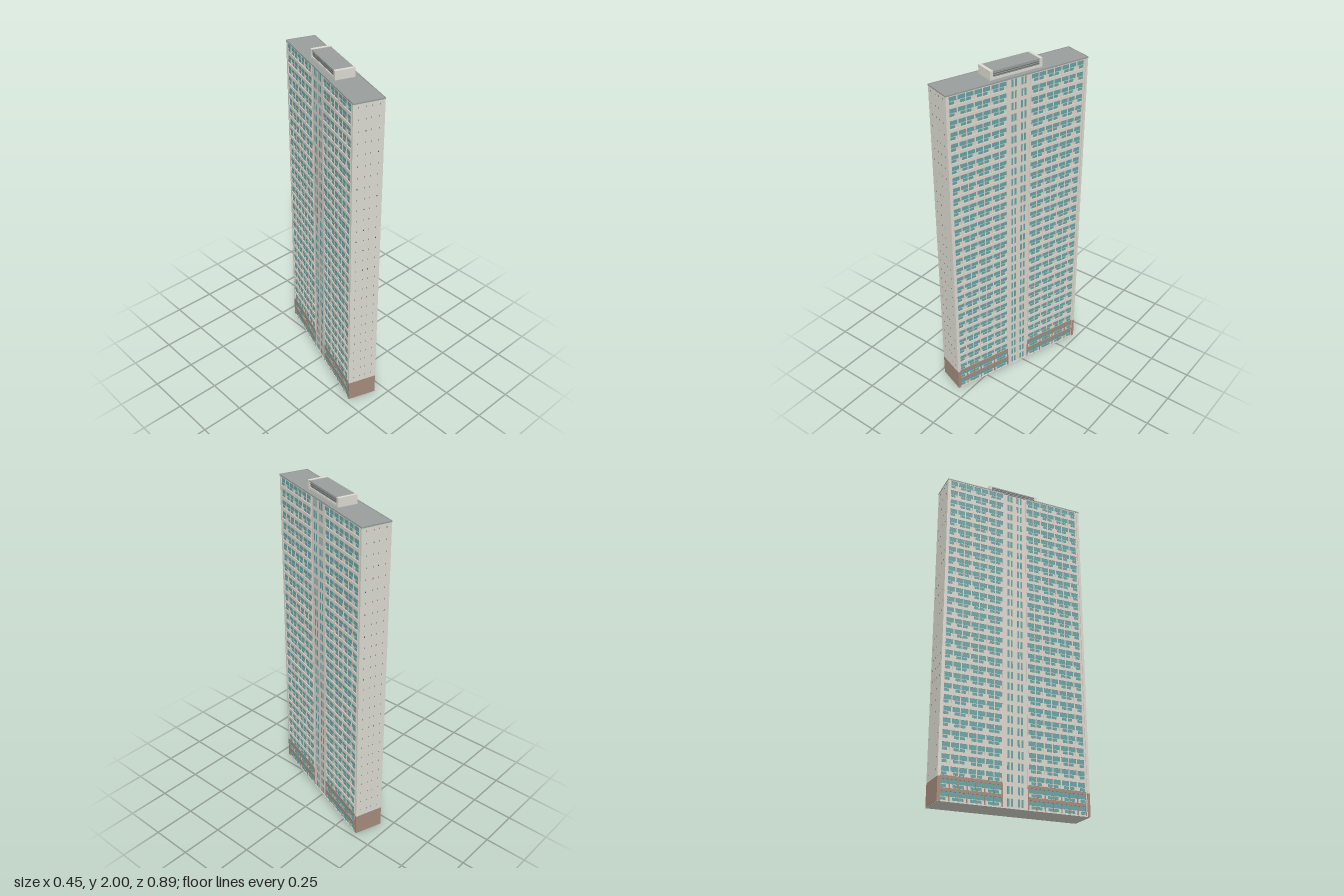
import * as THREE from 'three';
import { mergeGeometries } from 'three/addons/utils/BufferGeometryUtils.js';

const material = (name, color) => {
  const m = new THREE.MeshStandardMaterial({ color });
  m.name = name;
  return m;
};

const FLOORS = 30, PITCH = 0.065, HEIGHT = 1.95;
const HX = 0.086, HZ = 0.439;       // half depth and half length of the slab block
const CORE = 0.082;                 // facade plane behind the bands and piers
const BAY0 = 0.075, BAY1 = 0.418, COLS = 7;
const SHIFT = 0.004;                // each facade sits slightly off centre

export function createModel() {
  const mats = {
    wall: material('pale end wall', 0xdcdcd2),
    facade: material('facade cladding', 0xddd7cd),
    glass: material('teal glass', 0x68a5a6),
    brown: material('brown base', 0xa68c7d),
    roof: material('grey roof', 0x9a9f9e),
    dark: material('dark trim', 0x565958),
  };
  const building = new THREE.Group();
  building.name = 'towerBlock';
  const parts = {};

  // Collects a box, given by its limits, under a part name and colour
  const box = (part, mat, x0, x1, y0, y1, z0, z1) => {
    const g = new THREE.BoxGeometry(Math.abs(x1 - x0), y1 - y0, Math.abs(z1 - z0));
    g.translate((x0 + x1) / 2, (y0 + y1) / 2, (z0 + z1) / 2);
    (parts[part] ??= { mat, list: [] }).list.push(g);
  };

  // Core, underside and flat roof
  box('core', 'facade', -CORE, CORE, 0.004, HEIGHT - 0.004, -HZ + 0.01, HZ - 0.01);
  box('basePlate', 'wall', -HX + 0.001, HX - 0.001, 0, 0.004, -HZ + 0.001, HZ - 0.001);
  box('roof', 'roof', -HX + 0.003, HX - 0.003, HEIGHT - 0.006, HEIGHT, -HZ + 0.003, HZ - 0.003);

  for (const s of [-1, 1]) {
    // Roof edge trim
    box('roofEdge', 'roof', s * (HX - 0.003), s * (HX + 0.001), HEIGHT - 0.006, HEIGHT + 0.002, -HZ - 0.001, HZ + 0.001);
    box('roofEdge', 'roof', -HX, HX, HEIGHT - 0.006, HEIGHT + 0.002, s * (HZ - 0.003), s * (HZ + 0.001));

    // End walls with brown base and small slits
    box('endWall', 'wall', -HX, HX, 2 * PITCH, HEIGHT - 0.006, s * (BAY1 + 0.006), s * HZ);
    box('endBase', 'brown', -HX, HX, 0.001, 2 * PITCH, s * (BAY1 + 0.006), s * HZ);
    for (let f = 2; f < FLOORS; f++)
      for (const x of [-0.057, -0.015, 0.015, 0.057])
        box('endSlits', 'dark', x - 0.0015, x + 0.0015, f * PITCH + 0.036, f * PITCH + 0.044, s * HZ, s * (HZ + 0.0005));

    // Long facades
    const layer = (part, mat, depth, y0, y1, z0, z1) =>
      box(part, mat, s * (CORE - 0.002), s * depth, y0, y1, s * SHIFT + z0, s * SHIFT + z1);

    for (const e of [-1, 1]) {
      const z = v => e * v;
      const step = (BAY1 - BAY0) / COLS;

      // Piers between the window columns
      for (let c = 0; c <= COLS; c++) {
        const p = BAY0 + c * step, w = c % 2 ? 0.0025 : 0.0035;
        layer('piers', 'facade', 0.0845, 2 * PITCH, HEIGHT - 0.006, z(p - w), z(p + w));
        layer('basePiers', 'brown', 0.0845, 0.001, 2 * PITCH, z(p - w), z(p + w));
      }

      for (let f = 0; f < FLOORS; f++) {
        const y = f * PITCH, low = f < 2;
        // Floor bands, brown on the lowest storeys
        layer(low ? 'baseBands' : 'floorBands', low ? 'brown' : 'facade', HX,
          y + 0.054, Math.min(y + PITCH + 0.007, HEIGHT - 0.006), z(BAY0), z(BAY1 + 0.003));

        // Continuous upper glazing, narrower balcony doors below
        layer('upperWindows', 'glass', 0.0828, y + 0.029, y + 0.055, z(BAY0), z(BAY1));
        for (let c = 0; c < COLS; c++) {
          const a = BAY0 + c * step + (c % 2 ? 0.003 : step * 0.36);
          layer('balconyDoors', 'glass', 0.0828, y + 0.01, y + 0.0255, z(a), z(a + step * 0.57));
        }

        // Paired narrow stair windows
        for (const a of [0.0145, 0.0355])
          layer('stairWindows', 'glass', 0.0828, y + 0.012, y + 0.054, z(a), z(a + 0.0115));
      }
    }

    // Penthouse end walls, foot and louvred sides
    box('penthouseEnds', 'wall', -0.056, 0.056, HEIGHT, 2, s * 0.143, s * 0.161);
    box('penthouseFoot', 'wall', s * 0.04, s * 0.054, HEIGHT, HEIGHT + 0.012, -0.143, 0.143);
    for (let i = 0; i < 2; i++)
      box('penthouseLouvres', 'dark', s * 0.05, s * 0.0525, HEIGHT + 0.02 + i * 0.01, HEIGHT + 0.022 + i * 0.01, -0.143, 0.143);
  }
  box('penthouseBody', 'roof', -0.05, 0.05, HEIGHT, 1.99, -0.143, 0.143);
  box('penthouseRoof', 'roof', -0.055, 0.055, 1.99, 1.998, -0.143, 0.143);

  // One mesh for each named part and colour
  for (const [name, { mat, list }] of Object.entries(parts)) {
    const mesh = new THREE.Mesh(mergeGeometries(list), mats[mat]);
    mesh.name = name;
    building.add(mesh);
  }
  building.rotation.y = -0.331;

  const model = new THREE.Group();
  model.name = 'apartmentTower';
  model.add(building);
  return model;
}
